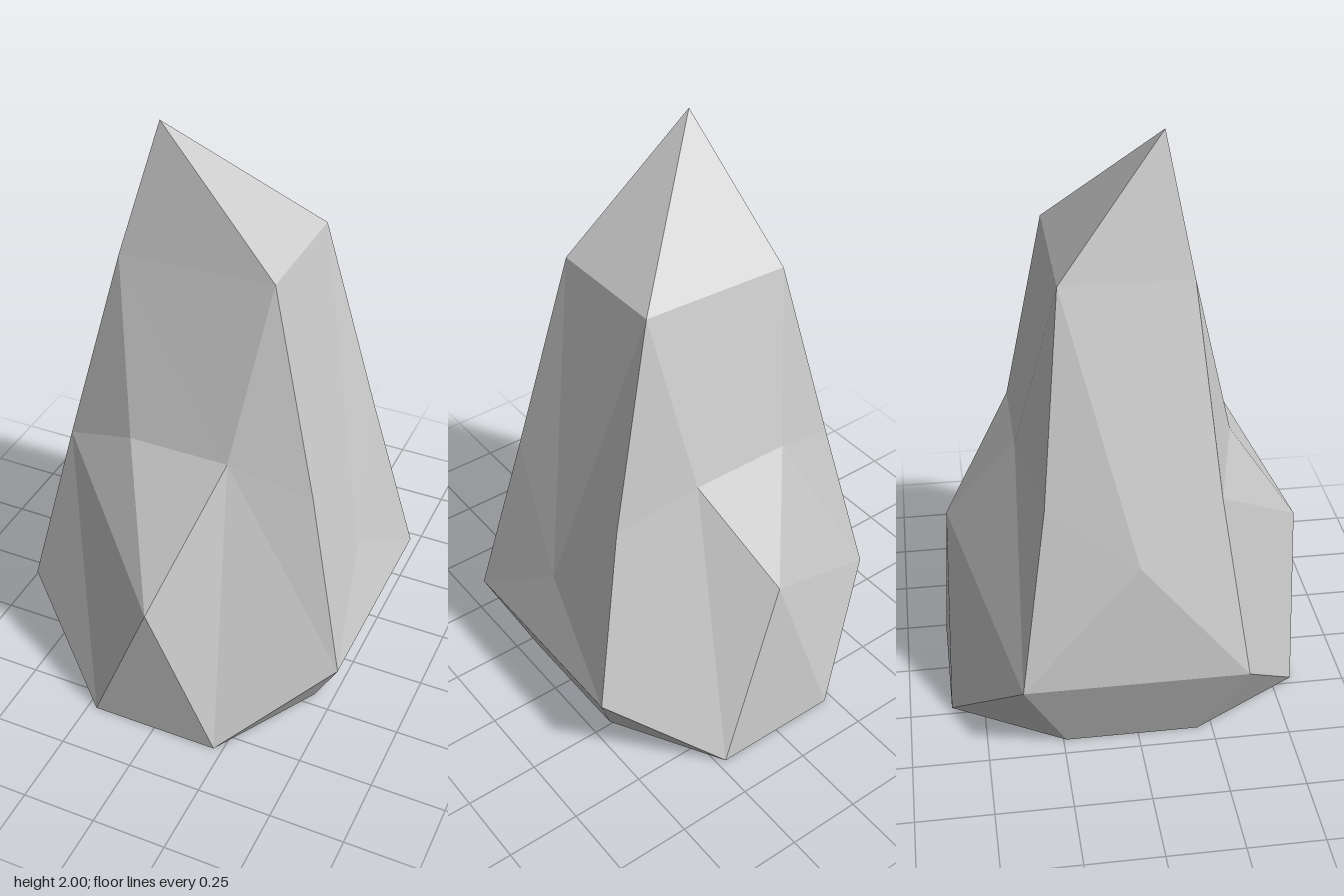
import * as THREE from 'three';

// Corner points, ring by ring. Letters: R = +x, L = -x, f = front, b = back.
const P = {
  peak: [-0.155, 2, 0.11],
  // shoulder ring
  topRf: [0.25, 1.59, 0.19], topRb: [0.25, 1.59, -0.225],
  topLf: [-0.265, 1.57, 0.19], topLb: [-0.265, 1.57, -0.225],
  // waist ring
  midRf: [0.16, 1.0, 0.33], midLf: [-0.175, 1.0, 0.33],
  midRb: [0.16, 1.0, -0.36], midLb: [-0.18, 1.0, -0.36],
  ribRf: [0.42, 0.9, 0.26], ribRb: [0.42, 0.9, -0.293],
  ribLf: [-0.43, 0.9, 0.26], ribLb: [-0.43, 0.9, -0.293],
  // single points in the middle of each side
  noseF: [0, 0.54, 0.607], noseB: [0, 0.65, -0.585],
  noseR: [0.485, 0.54, -0.01], noseL: [-0.53, 0.73, -0.01],
  // widest ring
  hipRf: [0.56, 0.29, 0.342], hipRb: [0.56, 0.29, -0.385],
  hipLf: [-0.56, 0.31, 0.342], hipLb: [-0.56, 0.31, -0.385],
  // octagon on the ground
  footRf: [0.22, 0, 0.57], footLf: [-0.22, 0, 0.57],
  footRb: [0.22, 0, -0.61], footLb: [-0.22, 0, -0.61],
  toeRf: [0.435, 0, 0.2], toeRb: [0.435, 0, -0.24],
  toeLf: [-0.435, 0, 0.2], toeLb: [-0.435, 0, -0.24],
};

const CENTRE = new THREE.Vector3(0, 0.7, 0);

// Facets are lists of corner names; each is fanned into outward-facing triangles.
function facetMesh(name, facets, material) {
  const pos = [];
  for (const facet of facets) {
    const v = facet.split(' ').map((k) => new THREE.Vector3(...P[k]));
    for (let i = 1; i < v.length - 1; i++) {
      const [a, b, c] = [v[0], v[i], v[i + 1]];
      const n = b.clone().sub(a).cross(c.clone().sub(a));
      const outward = n.dot(a.clone().sub(CENTRE)) > 0;
      for (const p of outward ? [a, b, c] : [a, c, b]) pos.push(p.x, p.y, p.z);
    }
  }
  const geo = new THREE.BufferGeometry();
  geo.setAttribute('position', new THREE.Float32BufferAttribute(pos, 3));
  geo.computeVertexNormals();
  const mesh = new THREE.Mesh(geo, material);
  mesh.name = name;
  return mesh;
}

export function createModel() {
  const group = new THREE.Group();
  group.name = 'rock';
  const stone = new THREE.MeshStandardMaterial({ color: 0xcccccc, flatShading: true });
  const add = (name, facets) => group.add(facetMesh(name, facets, stone));

  // Slanted tip
  add('peak', ['peak topRf topRb', 'peak topRb topLb', 'peak topLb topLf', 'peak topLf topRf']);

  // Front and back: shared pattern, with a different cut on their -x half
  for (const [s, name] of [['f', 'frontFace'], ['b', 'backFace']]) {
    const nose = s === 'f' ? 'noseF' : 'noseB';
    const facets = [
      'topL topR midR midL', 'topR ribR midR', 'midR ribR hipR', 'midR hipR footR',
      'midR footR nose', 'midL midR nose', 'nose footR footL', 'topL midL ribL',
      ...(s === 'f'
        ? ['midL nose ribL', 'nose footL ribL', 'ribL footL hipL']
        : ['nose footL hipL', 'nose hipL midL', 'midL hipL ribL']),
    ];
    add(name, facets.map((f) => f.split(' ').map((k) => (k === 'nose' ? nose : k + s)).join(' ')));
  }

  // Sides: a fan around the middle point
  for (const [d, name] of [['R', 'leftFace'], ['L', 'rightFace']]) {
    const ring = ['top' + d + 'f', 'rib' + d + 'f', 'hip' + d + 'f', 'hip' + d + 'b', 'rib' + d + 'b', 'top' + d + 'b'];
    add(name, ring.map((k, i) => `nose${d} ${k} ${ring[(i + 1) % 6]}`));
  }

  // Undercut skirt and flat bottom
  const skirt = [];
  for (const d of ['R', 'L']) {
    skirt.push(`hip${d}f hip${d}b toe${d}b toe${d}f`);
    for (const s of ['f', 'b']) skirt.push(`hip${d}${s} toe${d}${s} foot${d}${s}`);
  }
  add('skirt', skirt);
  add('bottom', ['footRf toeRf toeRb footRb footLb toeLb toeLf footLf']);

  return group;
}
